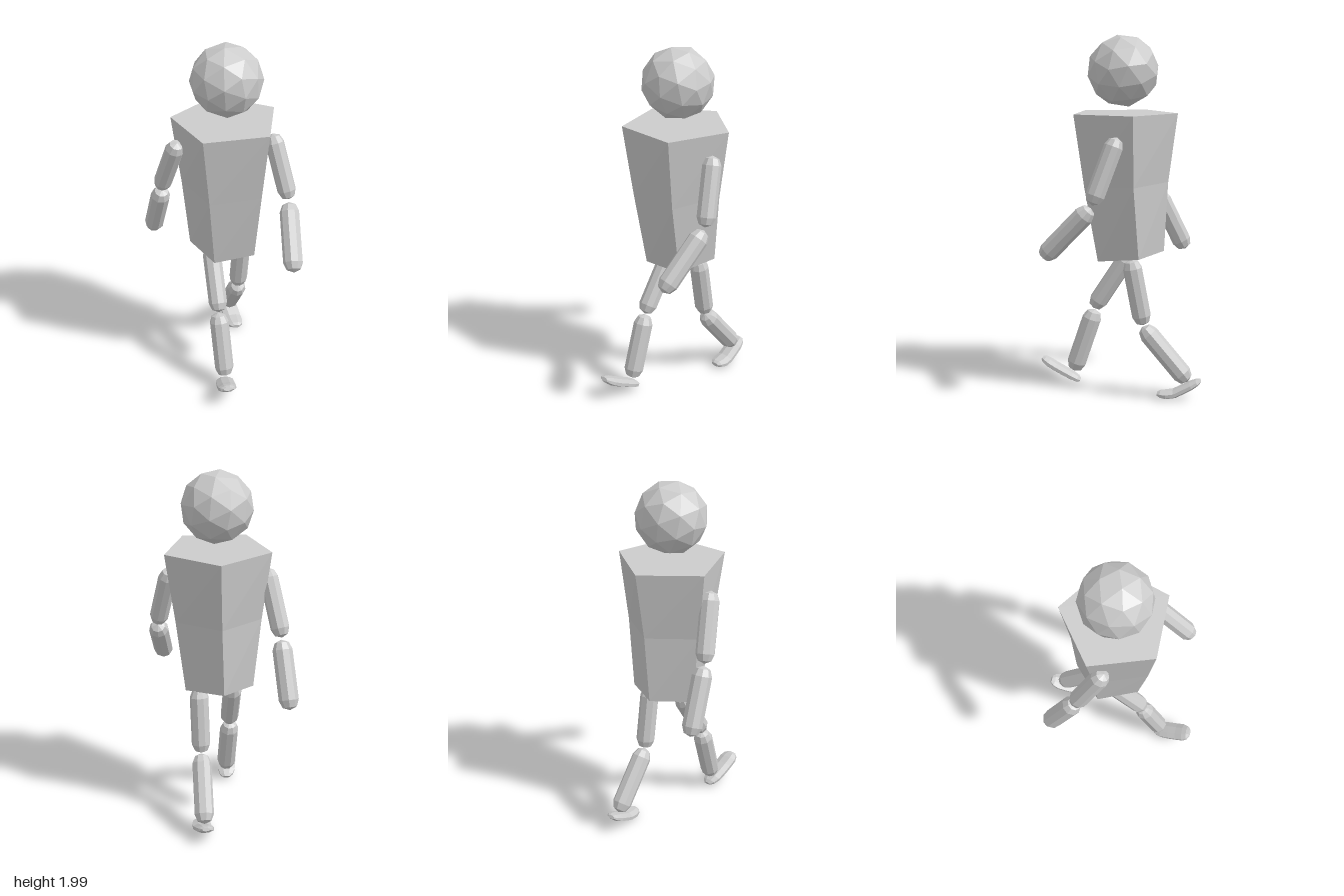
import * as THREE from 'three';

const material = new THREE.MeshStandardMaterial({ color: 0xcccccc, flatShading: true });

function addMesh(parent, name, geometry) {
  const mesh = new THREE.Mesh(geometry, material);
  mesh.name = name;
  parent.add(mesh);
  return mesh;
}

// Closed skin over a list of rings, each turning right-handed about the travel direction
function loft(rings) {
  const n = rings[0].length;
  const points = rings.flat();
  const index = [];
  for (let i = 0; i < rings.length - 1; i++) {
    for (let j = 0; j < n; j++) {
      const a = i * n + j;
      const b = i * n + (j + 1) % n;
      index.push(a, b, b + n, a, b + n, a + n);
    }
  }
  const last = (rings.length - 1) * n;
  for (let j = 1; j < n - 1; j++) {
    index.push(0, j + 1, j, last, last + j, last + j + 1);
  }
  const geometry = new THREE.BufferGeometry().setFromPoints(points);
  geometry.setIndex(index);
  const flat = geometry.toNonIndexed();
  flat.computeVertexNormals();
  return flat;
}

// Five-sided ring of the torso; slope lifts it towards the back
function torsoRing({ y, z, radius, twist, slope }) {
  return Array.from({ length: 5 }, (_, j) => {
    const angle = Math.PI / 5 + twist + j * Math.PI * 0.4;
    const pz = z + radius * Math.cos(angle);
    return new THREE.Vector3(0.022 + radius * Math.sin(angle), y - slope * pz, pz);
  });
}

// Capsule whose round ends are centred on two points
function limb(parent, name, from, to, radius) {
  const a = new THREE.Vector3(...from);
  const b = new THREE.Vector3(...to);
  const axis = b.clone().sub(a);
  const mesh = addMesh(parent, name, new THREE.CapsuleGeometry(radius, axis.length(), 2, 9));
  mesh.position.copy(a).add(b).multiplyScalar(0.5);
  mesh.quaternion.setFromUnitVectors(new THREE.Vector3(0, 1, 0), axis.normalize());
}

// Flat rounded foot swept from toe to heel
function foot(parent, name, points) {
  const curve = new THREE.CatmullRomCurve3(points.map((p) => new THREE.Vector3(...p)));
  const side = new THREE.Vector3(1, 0, 0);
  const stations = [[0, 0.45], [0.07, 0.8], [0.2, 1], [0.4, 1], [0.6, 1], [0.8, 0.96], [0.93, 0.75], [1, 0.4]];
  const rings = stations.map(([t, scale]) => {
    const up = curve.getTangent(t).cross(side).normalize();
    return Array.from({ length: 8 }, (_, j) => {
      const angle = (j + 0.5) * Math.PI / 4;
      return curve.getPoint(t)
        .addScaledVector(side, 0.056 * scale * Math.cos(angle))
        .addScaledVector(up, 0.024 * scale * Math.sin(angle));
    });
  });
  addMesh(parent, name, loft(rings));
}

export function createModel() {
  const model = new THREE.Group();
  model.name = 'walkingFigure';

  // Head
  const head = addMesh(model, 'head', new THREE.IcosahedronGeometry(0.196, 1));
  head.position.set(0.022, 1.805, -0.022);
  head.rotation.set(0.15, 0.3, 0.1);

  // Torso
  addMesh(model, 'torso', loft([
    { y: 0.785, z: -0.05, radius: 0.2, twist: 0.11, slope: 0.11 },
    { y: 1.19, z: -0.025, radius: 0.246, twist: 0.04, slope: 0.04 },
    { y: 1.578, z: -0.022, radius: 0.3, twist: 0, slope: 0 },
  ].map(torsoRing)));

  // Arms and legs in mid stride: end points of each upper and lower part
  const limbs = [
    ['leftUpperArm', [0.287, 1.417, -0.01], [0.338, 1.163, 0.08], 0.052],
    ['leftForearm', [0.342, 1.06, 0.14], [0.315, 0.857, 0.335], 0.055],
    ['rightUpperArm', [-0.255, 1.417, -0.05], [-0.308, 1.165, -0.16], 0.052],
    ['rightForearm', [-0.318, 1.055, -0.2], [-0.343, 0.81, -0.317], 0.055],
    ['leftThigh', [0.128, 0.735, -0.09], [0.122, 0.467, -0.14], 0.053],
    ['leftShin', [0.122, 0.365, -0.18], [0.12, 0.145, -0.365], 0.055],
    ['rightThigh', [-0.062, 0.735, -0.02], [-0.06, 0.5, 0.132], 0.053],
    ['rightShin', [-0.062, 0.395, 0.17], [-0.052, 0.132, 0.258], 0.055],
  ];
  for (const [name, from, to, radius] of limbs) limb(model, name, from, to, radius);

  // Feet: left one pushing off on its toe, right one landing on its heel
  foot(model, 'leftFoot', [[0.133, 0.028, -0.23], [0.13, 0.03, -0.31], [0.122, 0.065, -0.385], [0.115, 0.11, -0.468]]);
  foot(model, 'rightFoot', [[-0.074, 0.143, 0.465], [-0.068, 0.104, 0.4], [-0.06, 0.065, 0.32], [-0.05, 0.026, 0.238]]);

  return model;
}
